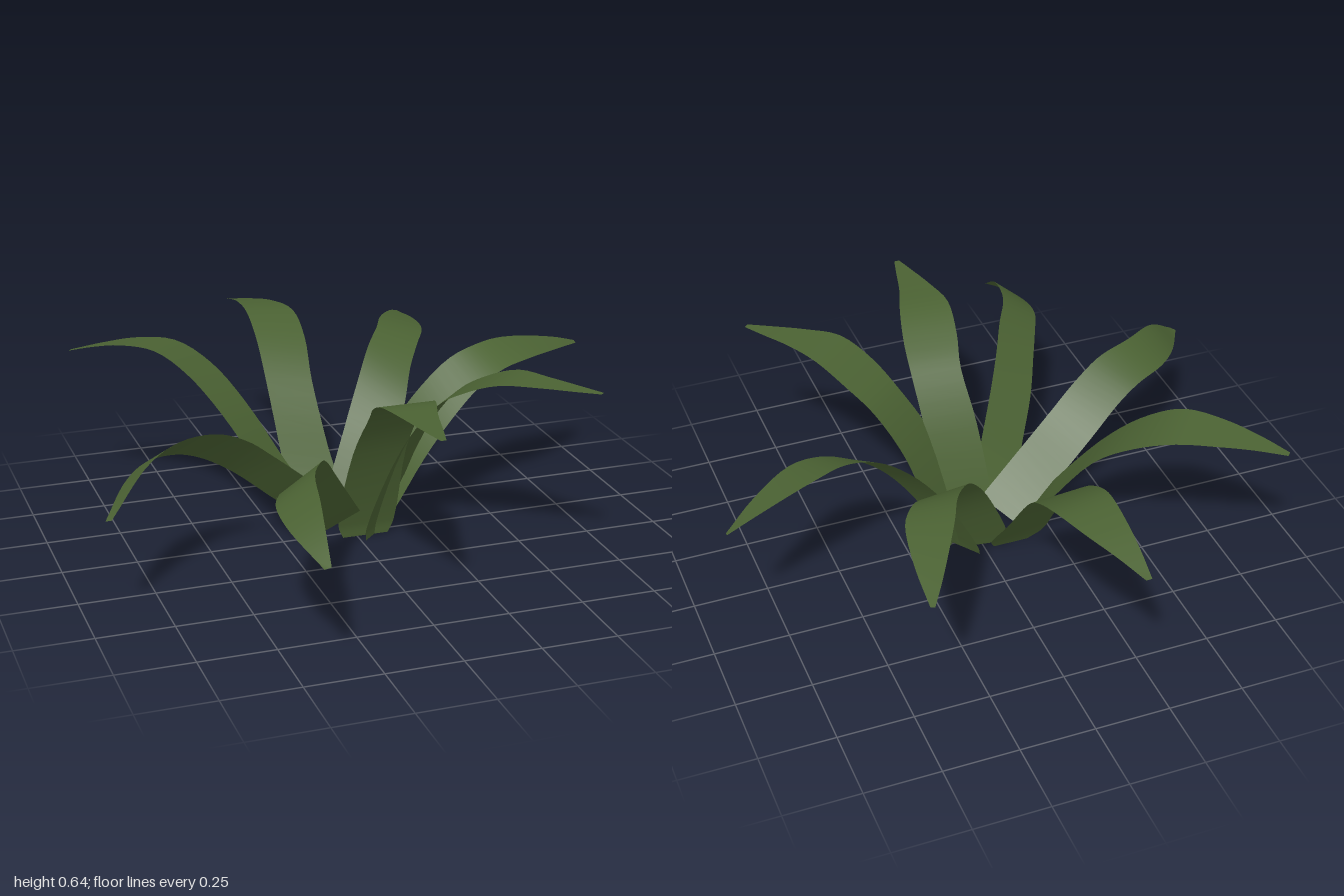
import * as THREE from 'three';

// Each leaf is a ribbon between two edge curves, from the root to the tip.
// Edges are given left then right, as seen walking outward along the leaf.
const uprightLeaf = {
  left: [[0.11, 0, 0.035], [0.127, 0.05, 0.045], [0.124, 0.35, 0.165], [0.13, 0.515, 0.28], [0.12, 0.585, 0.385],
    [0.09, 0.635, 0.51], [0.05, 0.64, 0.63], [0.02, 0.637, 0.75], [0, 0.635, 0.827]],
  right: [[-0.05, 0, 0.035], [-0.07, 0.05, 0.045], [-0.06, 0.35, 0.165], [-0.045, 0.515, 0.28], [-0.07, 0.585, 0.385],
    [-0.085, 0.635, 0.51], [-0.064, 0.64, 0.63], [-0.037, 0.637, 0.75], [-0.018, 0.635, 0.827]],
};
const sideLeaf = {
  left: [[0.04, 0.03, -0.12], [0.055, 0.08, -0.142], [0.17, 0.3, -0.132], [0.288, 0.445, -0.135], [0.4, 0.532, -0.15],
    [0.51, 0.565, -0.17], [0.62, 0.565, -0.21], [0.83, 0.525, -0.268], [0.93, 0.495, -0.288]],
  right: [[0.1, 0.01, 0], [0.13, 0.06, 0.02], [0.243, 0.25, 0.03], [0.34, 0.37, 0.02], [0.45, 0.462, -0.01],
    [0.55, 0.513, -0.03], [0.66, 0.53, -0.062], [0.81, 0.515, -0.165], [0.93, 0.49, -0.272]],
};
const droopingLeaf = {
  left: [[-0.035, 0.12, 0.065], [-0.19, 0.255, 0.1], [-0.315, 0.362, 0.13], [-0.41, 0.438, 0.158],
    [-0.52, 0.492, 0.2], [-0.65, 0.503, 0.25], [-0.78, 0.475, 0.345], [-0.925, 0.36, 0.462]],
  right: [[-0.14, 0.04, -0.05], [-0.28, 0.16, -0.005], [-0.43, 0.29, 0.032], [-0.55, 0.372, 0.08],
    [-0.64, 0.408, 0.118], [-0.745, 0.417, 0.17], [-0.835, 0.4, 0.265], [-0.94, 0.355, 0.447]],
};
const backLeaf = {
  left: [[-0.14, 0.03, -0.1], [-0.18, 0.08, -0.13], [-0.185, 0.23, -0.23], [-0.185, 0.43, -0.39], [-0.18, 0.545, -0.52],
    [-0.178, 0.605, -0.64], [-0.172, 0.605, -0.78], [-0.167, 0.58, -0.9], [-0.16, 0.55, -1]],
  right: [[-0.02, 0.03, -0.1], [0.005, 0.08, -0.135], [-0.01, 0.22, -0.24], [-0.02, 0.42, -0.39], [0, 0.53, -0.53],
    [0, 0.59, -0.67], [-0.04, 0.592, -0.8], [-0.09, 0.575, -0.9], [-0.14, 0.55, -1]],
};

// Smooth ribbon lofted between the two edges
function leafGeometry({ left, right }, steps = 32) {
  const curve = (pts) => new THREE.CatmullRomCurve3(pts.map((p) => new THREE.Vector3(...p)));
  const a = curve(left), b = curve(right);
  const positions = [], index = [];
  for (let i = 0; i <= steps; i++) {
    const l = a.getPoint(i / steps), r = b.getPoint(i / steps);
    positions.push(...l.toArray(), ...r.toArray());
    if (i < steps) {
      const k = i * 2;
      index.push(k, k + 1, k + 2, k + 1, k + 3, k + 2);
    }
  }
  const geometry = new THREE.BufferGeometry();
  geometry.setAttribute('position', new THREE.Float32BufferAttribute(positions, 3));
  geometry.setIndex(index);
  geometry.computeVertexNormals();
  return geometry;
}

export function createModel() {
  const plant = new THREE.Group();
  plant.name = 'plant';
  const green = new THREE.MeshStandardMaterial({ color: 0x4b6233, side: THREE.DoubleSide });

  // Four leaf shapes, each with a twin turned (degrees) and nudged in x and z
  const leaves = [
    ['uprightLeaf', uprightLeaf, 45, 0.027, 0.02],
    ['sideLeaf', sideLeaf, 45, 0, 0.03],
    ['droopingLeaf', droopingLeaf, 42, -0.03, 0.027],
    ['backLeaf', backLeaf, 45, -0.01, 0],
  ];
  for (const [name, edges, turn, dx, dz] of leaves) {
    const leaf = new THREE.Mesh(leafGeometry(edges), green);
    leaf.name = name;
    const twin = leaf.clone();
    twin.name = name + 'Twin';
    twin.rotation.y = THREE.MathUtils.degToRad(turn);
    twin.position.set(dx, 0, dz);
    plant.add(leaf, twin);
  }
  return plant;
}
